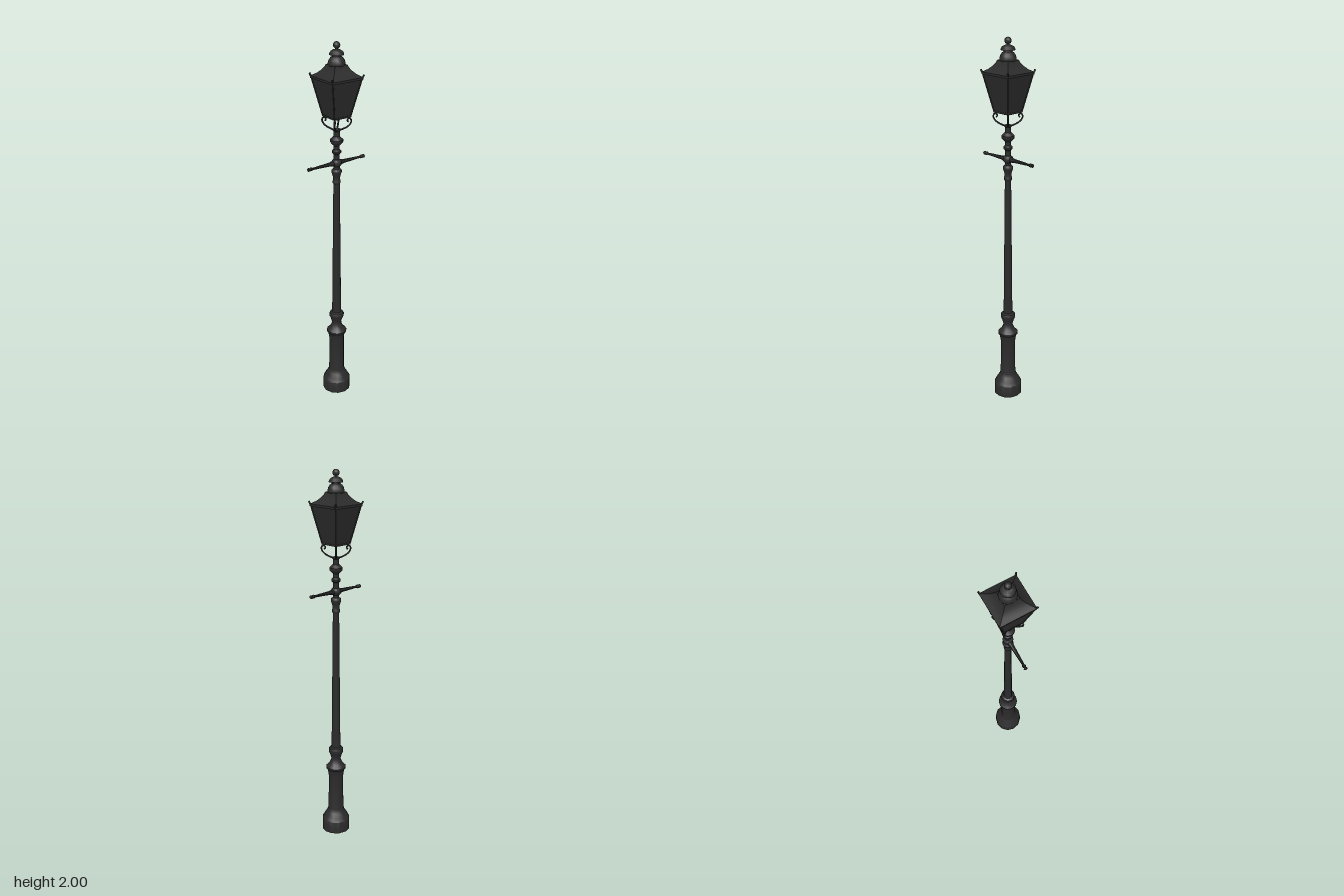
import * as THREE from 'three';
import { toCreasedNormals } from 'three/addons/utils/BufferGeometryUtils.js';

const iron = new THREE.MeshStandardMaterial({ color: 0x2b2b2b });
iron.name = 'black iron';
iron.side = THREE.DoubleSide;

export function createModel() {
  const model = new THREE.Group();
  model.name = 'streetLamp';

  function add(geometry, name, parent = model) {
    const mesh = new THREE.Mesh(geometry, iron);
    mesh.name = name;
    parent.add(mesh);
    return mesh;
  }
  // Turned part from [radius, height] pairs
  function turned(profile, name, sides = 12, crease = 0.7, parent = model) {
    const points = profile.map(([r, y]) => new THREE.Vector2(r, y));
    return add(toCreasedNormals(new THREE.LatheGeometry(points, sides), crease), name, parent);
  }
  // Square part from [half width, height] pairs
  function square(profile, name, parent) {
    const points = profile.map(([w, y]) => new THREE.Vector2(w * Math.SQRT2, y));
    const geometry = new THREE.LatheGeometry(points, 4, Math.PI / 4);
    return add(toCreasedNormals(geometry, 0.5), name, parent);
  }
  // Straight rod between two points
  function rod(a, b, radius, name, parent) {
    const path = new THREE.LineCurve3(a, b);
    return add(new THREE.TubeGeometry(path, 1, radius, 6), name, parent);
  }

  // Heavy base and pedestal
  turned([[0, 0], [0.077, 0], [0.077, 0.066], [0.072, 0.072], [0.066, 0.085], [0.052, 0.108],
    [0.047, 0.116], [0.043, 0.13], [0.041, 0.33], [0.044, 0.35], [0.048, 0.368], [0.055, 0.375],
    [0.055, 0.385], [0.047, 0.393], [0.036, 0.405], [0.027, 0.425], [0.026, 0.437], [0.032, 0.457],
    [0.04, 0.475], [0.041, 0.488], [0.037, 0.497], [0.025, 0.502]], 'base');

  // Tapered shaft
  turned([[0.025, 0.5], [0.017, 1.27]], 'shaft', 12);

  // Collars at the head of the post
  turned([[0.017, 1.265], [0.021, 1.272], [0.021, 1.282], [0.018, 1.29], [0.019, 1.305], [0.024, 1.322],
    [0.028, 1.333], [0.026, 1.342], [0.017, 1.35], [0.017, 1.362], [0.026, 1.372], [0.027, 1.382],
    [0.025, 1.392], [0.016, 1.4], [0.016, 1.428], [0.024, 1.436], [0.024, 1.446], [0.016, 1.454],
    [0.016, 1.474], [0.024, 1.482], [0.034, 1.494], [0.034, 1.506], [0.024, 1.515], [0.017, 1.523],
    [0.017, 1.55], [0.021, 1.554], [0.021, 1.56], [0, 1.563]], 'postCollars');

  // Ladder rest: a tapered arm with a ring and knob on each side
  for (const side of [1, -1]) {
    const arm = turned([[0.014, 0], [0.014, 0.03], [0.011, 0.04], [0.006, 0.152], [0.01, 0.157],
      [0.01, 0.163], [0.005, 0.167], [0.01, 0.173], [0.009, 0.178], [0, 0.182]],
    side > 0 ? 'leftLadderArm' : 'rightLadderArm', 8);
    arm.rotation.z = -side * Math.PI / 2;
    arm.position.y = 1.38;
  }

  // Lantern body, floor and rims
  const lantern = new THREE.Group();
  lantern.name = 'lantern';
  model.add(lantern);
  square([[0.049, 1.628], [0.089, 1.822]], 'panes', lantern);
  square([[0, 1.632], [0.048, 1.632]], 'floor', lantern);
  square([[0.043, 1.625], [0.052, 1.625], [0.053, 1.634], [0.044, 1.634]], 'lowerRim', lantern);
  square([[0.086, 1.817], [0.093, 1.817], [0.094, 1.829], [0.089, 1.831]], 'upperRim', lantern);

  // Concave roof
  square([[0.092, 1.829], [0.088, 1.832], [0.07, 1.843], [0.053, 1.86], [0.042, 1.877], [0.038, 1.888],
    [0, 1.89]], 'roof', lantern);

  // Round vent and ball finial
  turned([[0.038, 1.88], [0.044, 1.888], [0.044, 1.895], [0.04, 1.91], [0.032, 1.922], [0.024, 1.928],
    [0.024, 1.934], [0.037, 1.936], [0.037, 1.941], [0.031, 1.952], [0.018, 1.96], [0.008, 1.963],
    [0.007, 1.968], [0, 1.969]], 'vent', 12, 0.7, lantern);
  const ball = add(new THREE.SphereGeometry(0.018, 8, 8), 'finial', lantern);
  ball.position.y = 1.982;

  // Corner bars, corner spikes and scrolled brackets
  for (let i = 0; i < 4; i++) {
    const corner = new THREE.Group();
    corner.name = 'lanternCorner' + (i + 1);
    corner.rotation.y = Math.PI / 4 + i * Math.PI / 2;
    const at = (r, y) => new THREE.Vector3(r, y, 0);
    rod(at(0.07, 1.628), at(0.127, 1.825), 0.004, 'cornerBar', corner);
    rod(at(0.125, 1.82), at(0.135, 1.842), 0.005, 'cornerSpike', corner);
    const scroll = new THREE.CatmullRomCurve3([at(0.012, 1.555), at(0.03, 1.562), at(0.055, 1.576),
      at(0.071, 1.594), at(0.074, 1.61), at(0.066, 1.62), at(0.056, 1.615), at(0.055, 1.605),
      at(0.061, 1.602)]);
    add(new THREE.TubeGeometry(scroll, 24, 0.0045, 6), 'bracket', corner);
    lantern.add(corner);
  }

  return model;
}
